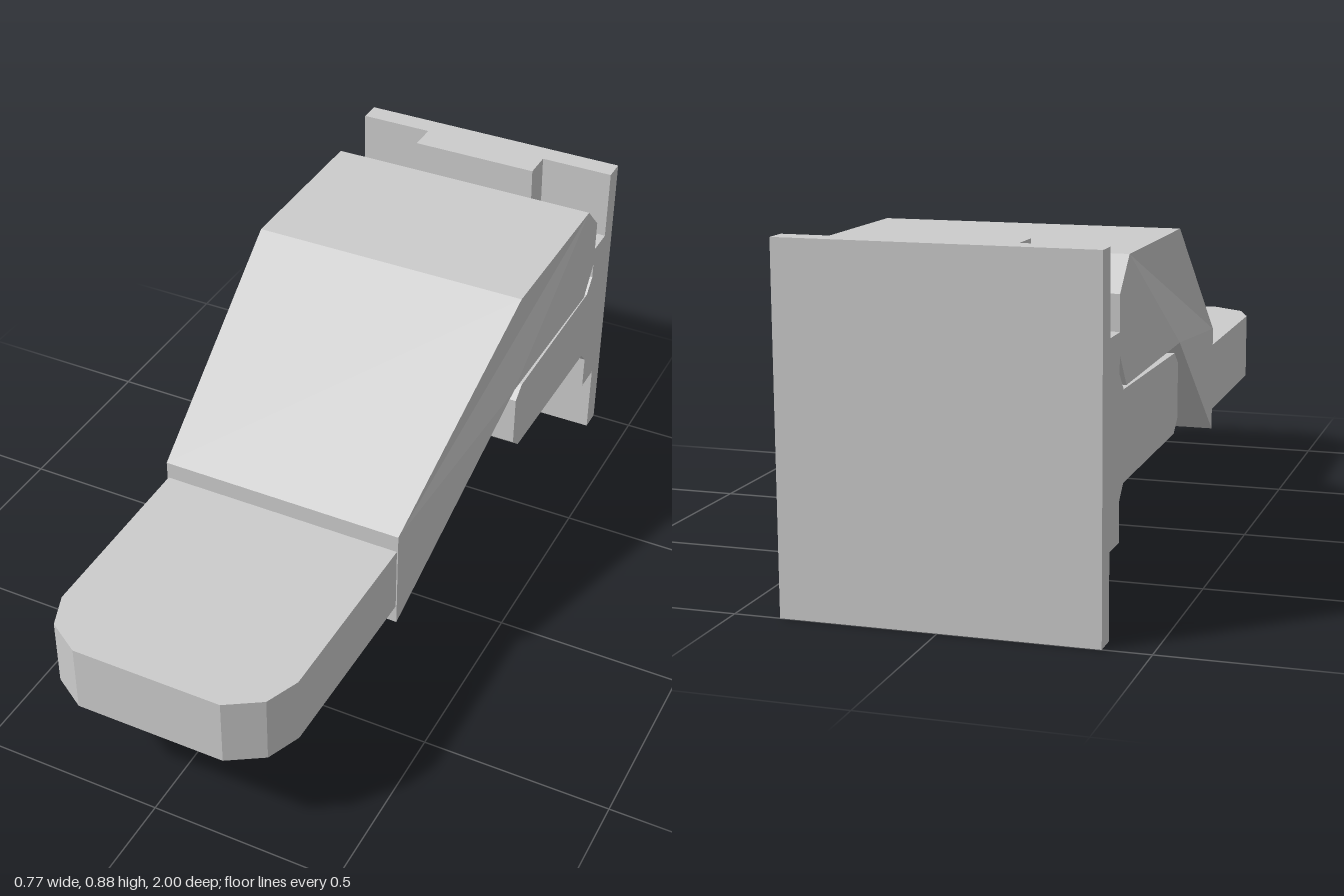
import * as THREE from 'three';

const material = new THREE.MeshStandardMaterial({
  color: 0xcccccc, flatShading: true, side: THREE.DoubleSide,
});
const HALF = 0.385; // half width of bracket

const shapeOf = (pts) => new THREE.Shape(pts.map(([a, b]) => new THREE.Vector2(a, b)));
const extrude = (shape, depth) =>
  new THREE.ExtrudeGeometry(shape, { depth, bevelEnabled: false });

// Side profile in (z, y), extruded symmetrically across x
function sideExtrude(pts, half) {
  return extrude(shapeOf(pts), half * 2).rotateY(-Math.PI / 2).translate(half, 0, 0);
}

// Move every vertex by a rule
function deform(geometry, rule) {
  const p = geometry.attributes.position;
  const v = new THREE.Vector3();
  for (let i = 0; i < p.count; i++) {
    rule(v.fromBufferAttribute(p, i));
    p.setXYZ(i, v.x, v.y, v.z);
  }
  geometry.computeVertexNormals();
  return geometry;
}

export function createModel() {
  const group = new THREE.Group();
  const add = (name, geometry) => {
    const mesh = new THREE.Mesh(geometry, material);
    mesh.name = name;
    group.add(mesh);
  };

  // Thin mounting plate
  add('backPlate', new THREE.BoxGeometry(HALF * 2, 0.885, 0.06).translate(0, 0.4425, -0.97));

  // Cross-shaped raised layer, leaving the four corners recessed
  const half = [
    [0.18, 0], [0.183, 0.14], [0.215, 0.17], [0.26, 0.2], [HALF, 0.205],
    [HALF, 0.685], [0.26, 0.69], [0.215, 0.715], [0.183, 0.75], [0.18, 0.885],
  ];
  const mirrored = half.map(([x, y]) => [-x, y]).reverse();
  add('plateCross', extrude(shapeOf([...half, ...mirrored]), 0.08).translate(0, 0, -0.94));

  // Lower tongue with a chamfered nose and flared root
  add('lowerTongue', sideExtrude([
    [-0.86, 0.3], [-0.825, 0.335], [-0.34, 0.342], [-0.302, 0.375],
    [-0.302, 0.515], [-0.34, 0.545], [-0.825, 0.55], [-0.86, 0.59],
  ], HALF));

  // Cranked upper arm, narrowing towards the front
  add('upperArm', deform(sideExtrude([
    [-0.86, 0.635], [-0.8, 0.555], [-0.285, 0.562], [0.33, 0.207],
    [0.33, 0.492], [-0.295, 0.848], [-0.78, 0.848], [-0.86, 0.77],
  ], HALF), (v) => {
    const t = THREE.MathUtils.clamp((v.z + 0.285) / 0.615, 0, 1);
    v.x *= 1 - 0.13 * t;
  }));

  // Front pad with rounded corners; the hole below is drawn to a point as a cone
  const side = [[0.332, 0.32], [0.326, 0.85], [0.29, 0.94], [0.2, 0.997]];
  const pad = shapeOf([...side, ...side.map(([x, z]) => [-x, z]).reverse()]);
  const holeZ = 0.68, holeR = 0.125;
  const hole = [];
  for (let i = 0; i < 12; i++) {
    const a = (i / 12) * Math.PI * 2;
    hole.push(new THREE.Vector2(Math.cos(a) * holeR, holeZ + Math.sin(a) * holeR));
  }
  pad.holes.push(new THREE.Path(hole));
  const padTop = 0.444;
  const padGeometry = extrude(pad, 0.184).rotateX(Math.PI / 2).translate(0, padTop, 0);
  add('frontPad', deform(padGeometry, (v) => {
    const inHole = Math.hypot(v.x, v.z - holeZ) < holeR + 0.01;
    if (inHole && v.y > padTop - 0.01) v.set(0, padTop, holeZ);
  }));

  return group;
}
